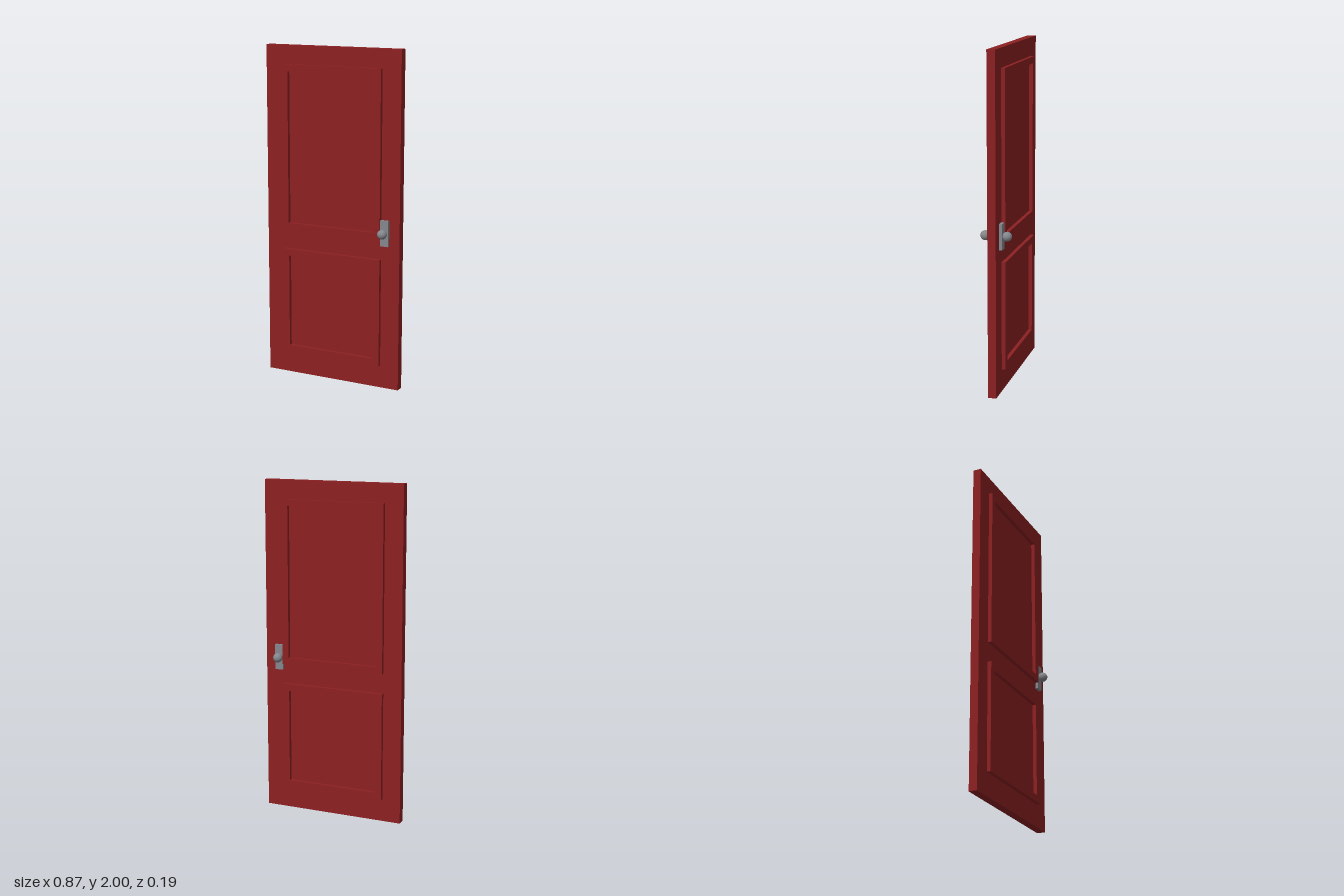
import * as THREE from 'three';

export function createModel() {
  const door = new THREE.Group();
  door.name = 'door';
  const red = new THREE.MeshStandardMaterial({ color: 0x8c2022 });
  red.name = 'red paint';
  const metal = new THREE.MeshStandardMaterial({ color: 0x84878c });
  metal.name = 'grey metal';

  const add = (name, geometry, material, x, y, z) => {
    const mesh = new THREE.Mesh(geometry, material);
    mesh.name = name;
    mesh.position.set(x, y, z);
    door.add(mesh);
    return mesh;
  };

  // Rectangular outline, centred on the origin
  const rectangle = (Type, w, h) => new Type([
    new THREE.Vector2(-w / 2, -h / 2), new THREE.Vector2(w / 2, -h / 2),
    new THREE.Vector2(w / 2, h / 2), new THREE.Vector2(-w / 2, h / 2),
  ]);

  // Raised moulding around a recessed panel
  const moulding = (w, h, border, depth) => {
    const shape = rectangle(THREE.Shape, w, h);
    shape.holes.push(rectangle(THREE.Path, w - 2 * border, h - 2 * border));
    return new THREE.ExtrudeGeometry(shape, { depth, bevelEnabled: false });
  };

  const midZ = -0.0015;
  const slabHalf = 0.0245;
  const raised = 0.0225;
  add('doorSlab', new THREE.BoxGeometry(0.87, 2, slabHalf * 2), red, 0, 1, midZ);

  for (const [side, s] of [['front', 1], ['back', -1]]) {
    // Mouldings of the upper and lower panels
    const z = s > 0 ? midZ + slabHalf : midZ - slabHalf - raised;
    add(side + 'UpperMoulding', moulding(0.642, 0.985, 0.04, raised), red, -0.002, 1.397, z);
    add(side + 'LowerMoulding', moulding(0.642, 0.648, 0.042, raised), red, -0.002, 0.46, z);

    // Lock plate and round knob
    add(side + 'LockPlate', new THREE.BoxGeometry(0.05, 0.152, 0.019), metal,
      0.345, 0.944, midZ + s * (slabHalf + 0.0095));
    const knob = add(side + 'Knob', new THREE.SphereGeometry(0.0285, 16, 8), metal,
      0.342, 0.944, midZ + s * 0.0645);
    knob.rotation.x = s * Math.PI / 2;
  }
  return door;
}
